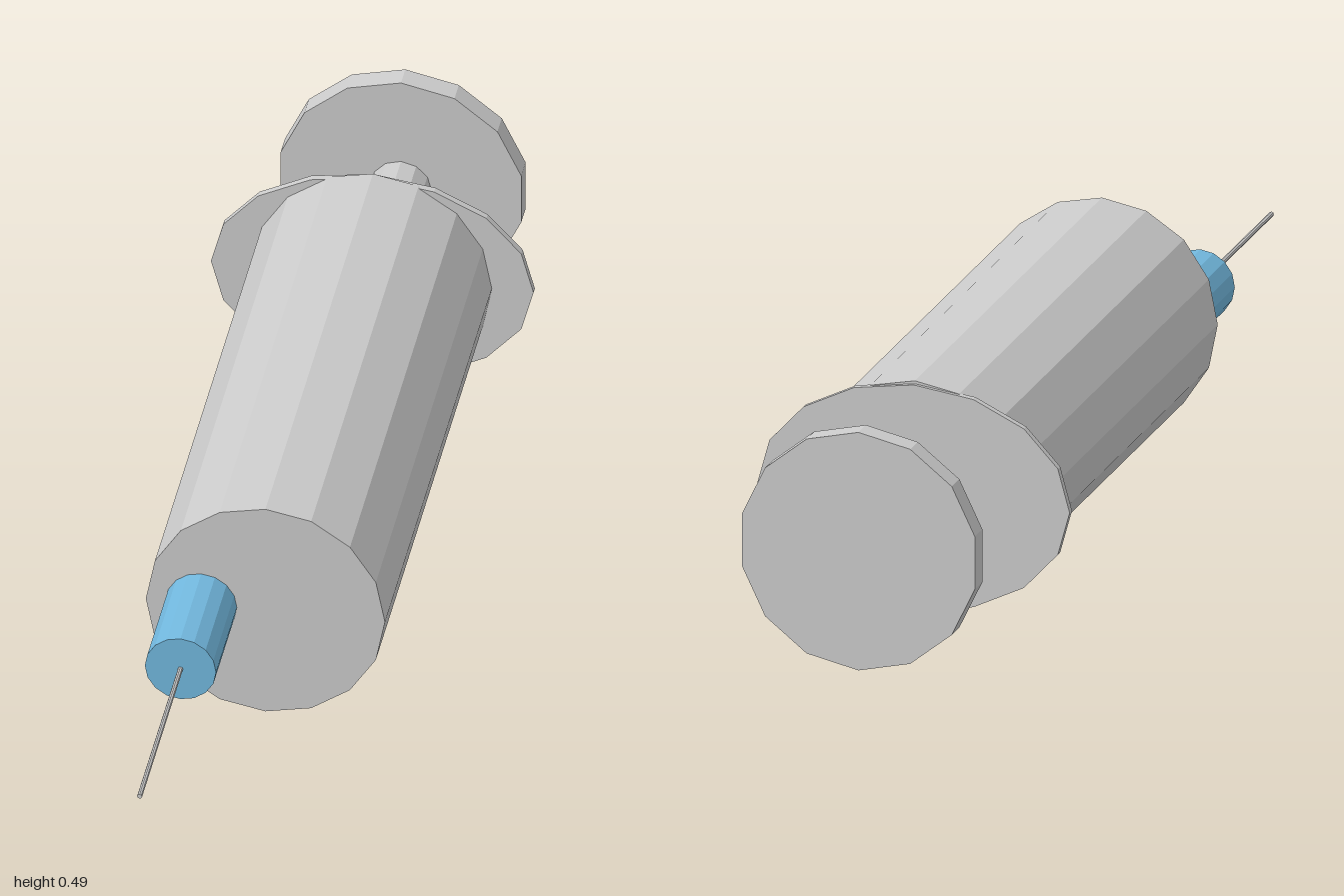
import * as THREE from 'three';

export function createModel() {
  const model = new THREE.Group();
  model.name = 'syringe';

  // Local frame: x runs from needle tip to plunger, y up, z across.
  const body = new THREE.Group();
  body.name = 'syringeBody';
  body.rotation.y = Math.atan2(0.6, 0.8);
  model.add(body);

  const grey = new THREE.MeshStandardMaterial({ color: 0xcccccc, flatShading: true });
  const blue = new THREE.MeshStandardMaterial({ color: 0x72b8de, flatShading: true });
  const axisY = 0.2435;
  const barrelZ = 0.092;
  const tipZ = -0.034; // the needle and hub sit off the barrel axis

  // Capped prism lying along x between x0 and x1
  function rod(name, x0, x1, radius, z, sides, material = grey, turn = 0) {
    const geometry = new THREE.CylinderGeometry(radius, radius, x1 - x0, sides, 1, false, turn);
    geometry.rotateZ(-Math.PI / 2);
    const mesh = new THREE.Mesh(geometry, material);
    mesh.name = name;
    mesh.position.set((x0 + x1) / 2, axisY, z);
    body.add(mesh);
    return mesh;
  }

  // Needle and coloured hub
  rod('needle', -1.228, -0.77, 0.005, tipZ, 8);
  rod('needleHub', -0.777, -0.54, 0.07, tipZ, 16, blue);

  // Barrel with a wide oval finger flange
  rod('barrel', -0.547, 0.64, 0.235, barrelZ, 16);
  const flange = rod('fingerFlange', 0.633, 0.648, 0.229, barrelZ, 16);
  flange.scale.z = 0.317 / 0.229;

  // Plunger shaft and thumb disc
  rod('plungerRod', 0.64, 0.955, 0.06, barrelZ, 12);
  rod('thumbDisc', 0.95, 0.998, 0.2425, barrelZ, 14, grey, Math.PI / 2);

  return model;
}
